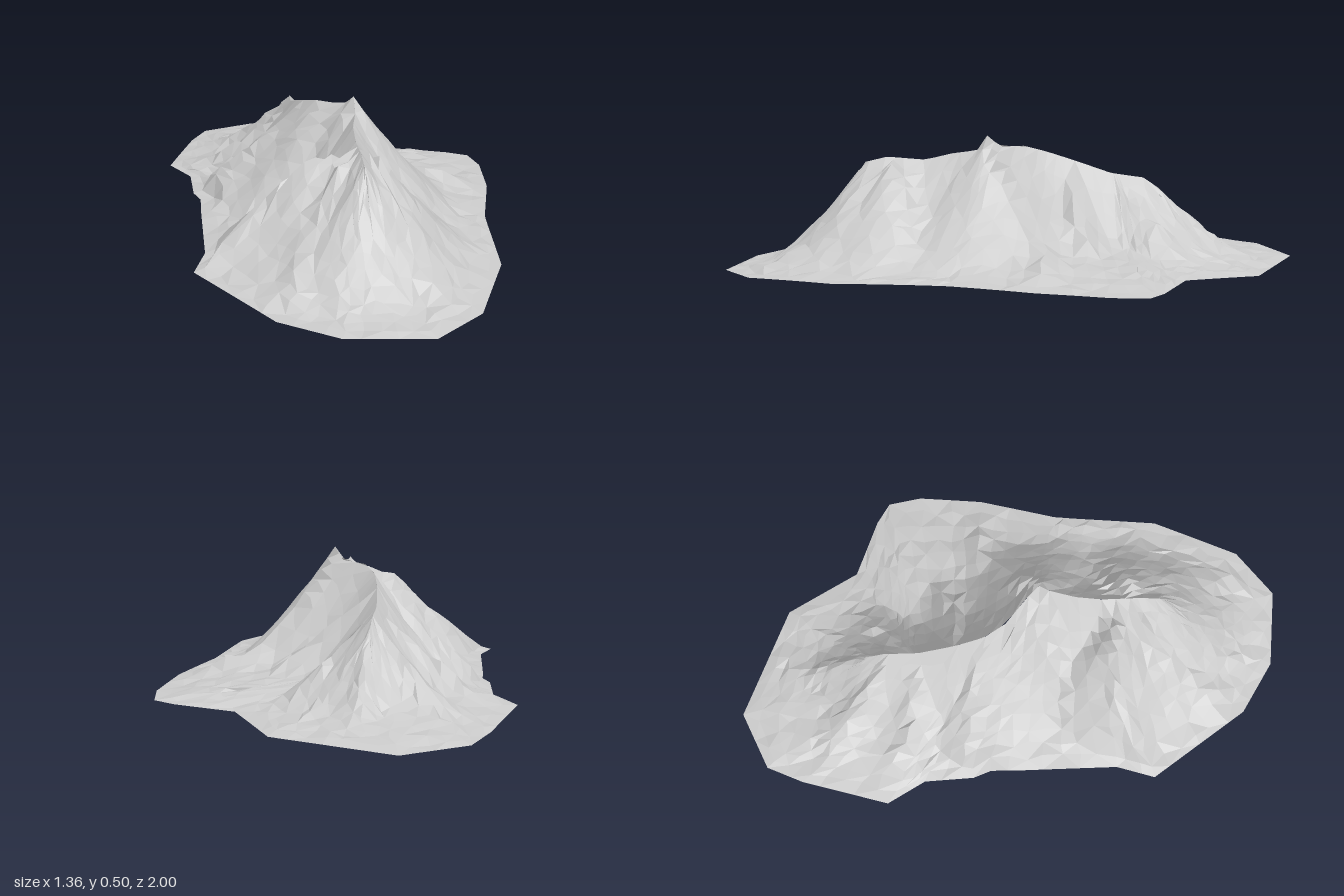
import * as THREE from 'three';

// Foot of the mountain, [x, z]
const OUTLINE = [
  [-0.44, -1], [0.01, -0.93], [0.22, -0.7], [0.46, -0.67], [0.55, -0.64], [0.6, -0.52], [0.63, -0.27],
  [0.62, 0.04], [0.63, 0.125], [0.675, 0.45], [0.61, 0.8], [0.47, 0.97], [0.17, 1], [-0.05, 0.92],
  [-0.38, 0.62], [-0.37, 0.47], [-0.453, 0.125], [-0.48, 0], [-0.52, -0.06], [-0.57, -0.24],
  [-0.68, -0.36], [-0.66, -0.7], [-0.63, -0.85],
];

// Main crest, back to front, [x, height, z]
const SPINE = [
  [-0.2, 0.28, -0.52], [-0.19, 0.32, -0.46], [-0.17, 0.335, -0.34], [-0.13, 0.385, -0.2],
  [-0.09, 0.42, -0.1], [-0.03, 0.445, -0.03], [0.08, 0.45, 0.025], [0.12, 0.495, 0.065],
  [0.13, 0.44, 0.1], [0.13, 0.425, 0.2], [0.15, 0.4, 0.3], [0.18, 0.41, 0.44], [0.2, 0.39, 0.52],
];

// Spurs running down from the crest, [x, height, z]
const SPURS = [
  [[-0.09, 0.42, -0.1], [-0.25, 0.28, -0.11], [-0.38, 0.17, -0.08], [-0.45, 0.06, -0.02]],
  [[0.15, 0.4, 0.38], [0, 0.385, 0.38], [-0.15, 0.24, 0.42], [-0.33, 0.07, 0.55]],
  [[-0.19, 0.32, -0.45], [-0.42, 0.12, -0.58]],
  [[-0.17, 0.335, -0.34], [-0.3, 0.23, -0.33], [-0.48, 0.1, -0.34]],
  [[-0.2, 0.28, -0.52], [-0.24, 0.06, -0.79]],
  [[-0.17, 0.335, -0.36], [-0.06, 0.19, -0.53], [-0.01, 0.08, -0.65]],
  [[-0.13, 0.385, -0.2], [0.05, 0.24, -0.25], [0.2, 0.1, -0.36]],
  [[0.08, 0.45, 0.02], [0.26, 0.25, -0.08], [0.34, 0.14, -0.2], [0.58, 0.06, -0.3]],
  [[0.13, 0.425, 0.18], [0.3, 0.25, 0.14], [0.45, 0.09, 0.2]],
  [[0.18, 0.41, 0.42], [0.23, 0.405, 0.4], [0.3, 0.27, 0.36], [0.46, 0.09, 0.35]],
  [[0.18, 0.41, 0.46], [0.3, 0.29, 0.52], [0.4, 0.12, 0.66], [0.47, 0.05, 0.78]],
  [[0.2, 0.39, 0.52], [0.19, 0.2, 0.64], [0.15, 0.08, 0.78]],
  [[0.12, 0.4, 0.44], [0.04, 0.24, 0.56], [-0.01, 0.07, 0.78]],
];

const { lerp, clamp, smoothstep } = THREE.MathUtils;
const RINGS = 12;

let seed = 7;
const jitter = (a) => {
  seed = (seed * 16807) % 2147483647;
  return (seed / 2147483647 - 0.5) * 2 * a;
};

// Point of the main crest at a given z
function crestAt(z) {
  let i = 0;
  while (i < SPINE.length - 2 && z > SPINE[i + 1][2]) i++;
  const a = SPINE[i], b = SPINE[i + 1];
  const t = clamp((z - a[2]) / (b[2] - a[2]), 0, 1);
  return a.map((v, k) => lerp(v, b[k], t));
}

// Highest slope that any crest or spur casts on (x, z)
function ridgeHeight(x, z) {
  let best = 0;
  for (const line of [SPINE, ...SPURS]) {
    for (let i = 0; i < line.length - 1; i++) {
      const [ax, ay, az] = line[i], [bx, by, bz] = line[i + 1];
      const dx = bx - ax, dz = bz - az;
      const t = clamp(((x - ax) * dx + (z - az) * dz) / (dx * dx + dz * dz), 0, 1);
      const y = lerp(ay, by, t);
      const d = Math.hypot(x - ax - dx * t, z - az - dz * t);
      best = Math.max(best, y * Math.max(0, 1 - d / (0.13 + 0.72 * y)) ** 1.4);
    }
  }
  return best;
}

// Outline divided into short steps, keeping its corners
function rimPoints() {
  const points = [];
  OUTLINE.forEach(([x, z], i) => {
    const [nx, nz] = OUTLINE[(i + 1) % OUTLINE.length];
    const n = Math.ceil(Math.hypot(nx - x, nz - z) / 0.075);
    for (let k = 0; k < n; k++) points.push([lerp(x, nx, k / n), lerp(z, nz, k / n)]);
  });
  return points;
}

// Loops of vertices shrinking from the foot to the crest
function mountainGeometry() {
  const rim = rimPoints();
  const positions = [], index = [];
  for (let j = 0; j <= RINGS; j++) {
    const t = j / RINGS;
    for (const [rx, rz] of rim) {
      const [cx, cy, cz] = crestAt(rz * 0.52);
      const loose = j > 0 && j < RINGS ? 0.014 * (1 - t * 0.6) : 0;
      const x = lerp(rx, cx, t) + jitter(loose);
      const z = lerp(rz, cz, t) + jitter(loose);
      const foot = 0.03 * (1 - rz * rz) + 0.1 * t;
      const slope = ridgeHeight(x, z) * smoothstep(t, 0, 0.2);
      const y = j === RINGS ? cy : Math.max(foot, slope) + jitter(loose * 0.5);
      positions.push(x, Math.max(0, y), z);
    }
  }
  const n = rim.length;
  for (let j = 0; j < RINGS; j++) {
    for (let i = 0; i < n; i++) {
      const a = j * n + i, b = j * n + ((i + 1) % n), c = a + n, d = b + n;
      if ((i + j) % 2) index.push(a, c, b, b, c, d);
      else index.push(a, c, d, a, d, b);
    }
  }
  const geometry = new THREE.BufferGeometry();
  geometry.setAttribute('position', new THREE.Float32BufferAttribute(positions, 3));
  geometry.setIndex(index);
  geometry.computeVertexNormals();
  return geometry;
}

export function createModel() {
  const group = new THREE.Group();
  group.name = 'mountain';
  const rock = new THREE.MeshStandardMaterial({ color: 0xcccccc, flatShading: true, side: THREE.DoubleSide });
  const slopes = new THREE.Mesh(mountainGeometry(), rock);
  slopes.name = 'mountainSlopes';
  group.add(slopes);
  return group;
}
